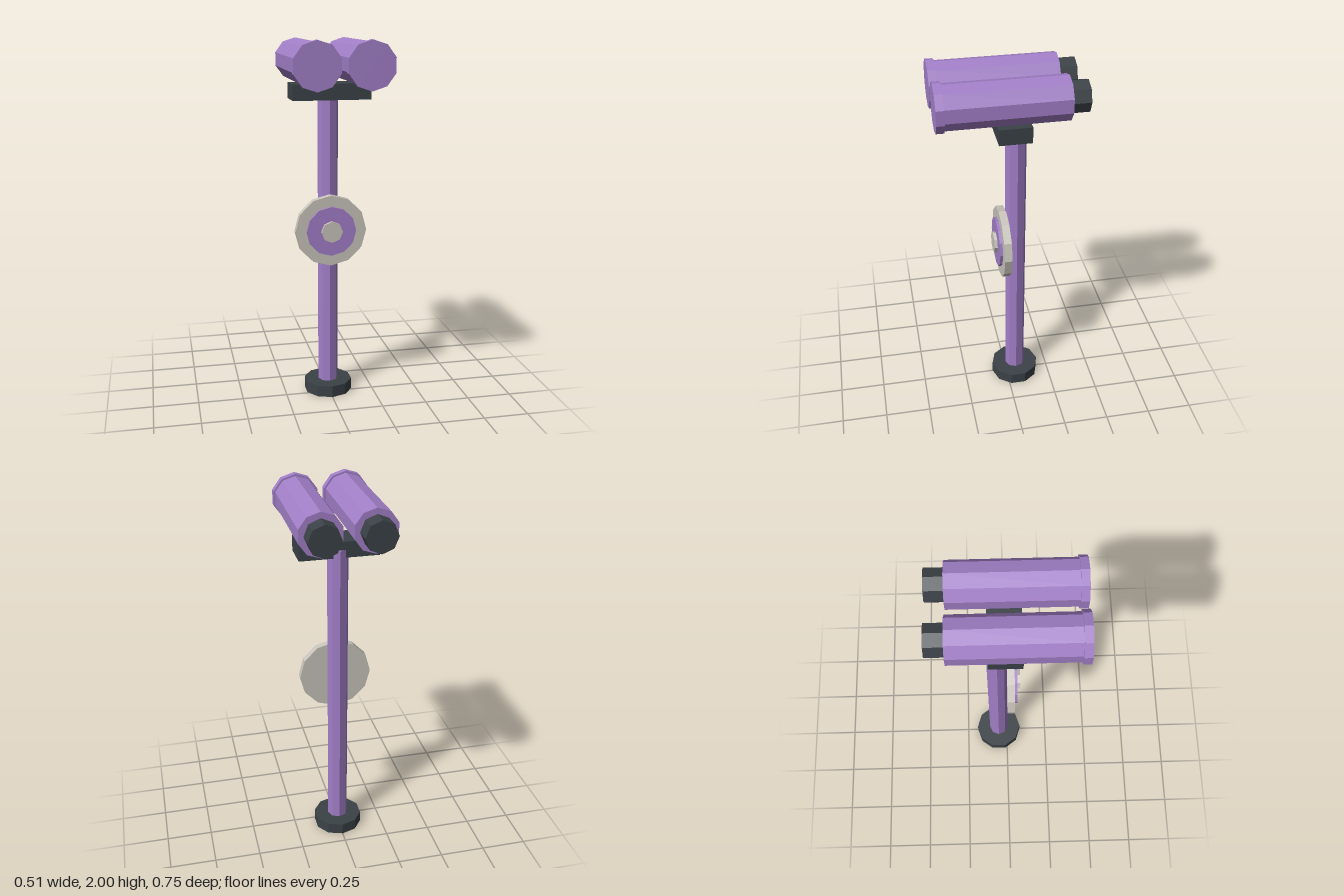
import * as THREE from 'three';

const paint = (name, color) => {
  const m = new THREE.MeshStandardMaterial({ color, flatShading: true });
  m.name = name;
  return m;
};

export function createModel() {
  const purple = paint('purple', 0xa27fc8);
  const dark = paint('charcoal', 0x3b4247);
  const grey = paint('warm grey', 0xc9c5bc);
  const model = new THREE.Group();
  model.name = 'pedestalBinoculars';

  const add = (parent, name, geometry, material, x, y, z) => {
    const mesh = new THREE.Mesh(geometry, material);
    mesh.name = name;
    mesh.position.set(x, y, z);
    parent.add(mesh);
  };
  // upright cylinder between two heights
  const upright = (name, r, y0, y1, sides, material, z) =>
    add(model, name, new THREE.CylinderGeometry(r, r, y1 - y0, sides), material, 0, (y0 + y1) / 2, z);
  // cylinder lying along z between two depths
  const lying = (parent, name, r, z0, z1, sides, material, x, y) =>
    add(parent, name, new THREE.CylinderGeometry(r, r, z1 - z0, sides).rotateX(Math.PI / 2),
      material, x, y, (z0 + z1) / 2);

  // stand
  upright('base', 0.135, 0, 0.065, 10, dark, -0.052);
  upright('pole', 0.056, 0.065, 1.72, 8, purple, -0.052);
  add(model, 'bracket', new THREE.BoxGeometry(0.42, 0.085, 0.168), dark, 0, 1.7225, -0.011);

  // stacked discs on the front of the pole
  const plate = new THREE.Group();
  plate.name = 'frontPlate';
  model.add(plate);
  lying(plate, 'outerDisc', 0.197, 0, 0.041, 12, grey, 0, 0.967);
  lying(plate, 'middleDisc', 0.137, 0.041, 0.056, 12, purple, 0, 0.967);
  lying(plate, 'centreKnob', 0.059, 0.056, 0.073, 8, grey, 0, 0.967);

  // pair of viewing tubes
  for (const side of [-1, 1]) {
    const tube = new THREE.Group();
    tube.name = side > 0 ? 'leftTube' : 'rightTube';
    model.add(tube);
    const x = side * 0.137, y = 1.876;
    lying(tube, 'barrel', 0.115, -0.284, 0.335, 10, purple, x, y);
    lying(tube, 'frontRim', 0.125, 0.335, 0.376, 10, purple, x, y);
    lying(tube, 'eyepiece', 0.084, -0.378, -0.284, 8, dark, x, y);
  }
  return model;
}
